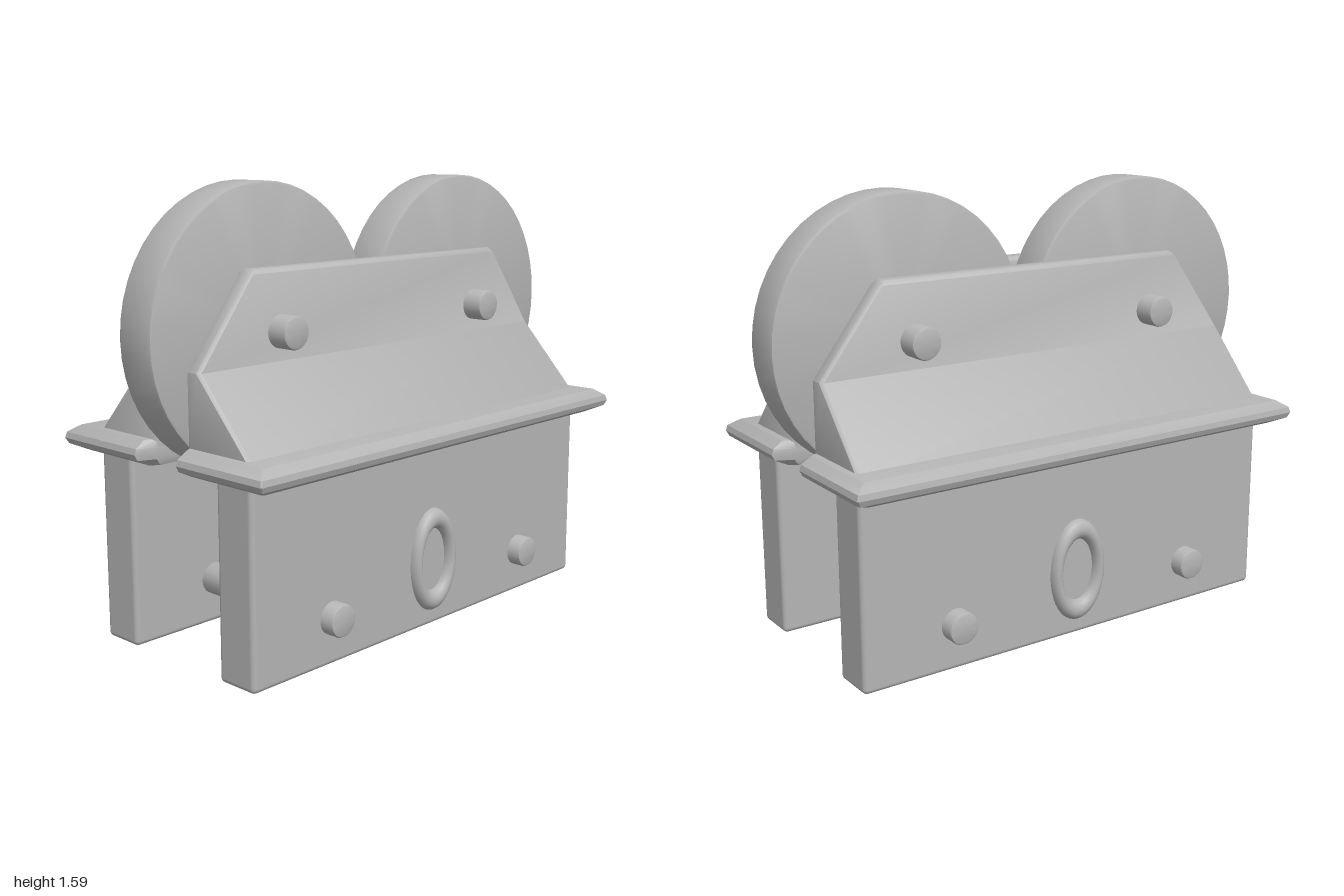
import * as THREE from 'three';
import { toCreasedNormals } from 'three/addons/utils/BufferGeometryUtils.js';
import { RoundedBoxGeometry } from 'three/addons/geometries/RoundedBoxGeometry.js';

// Rectangular plan outline with cut corners: cz/cx at the inner side, c at the outer side
function outline(hx, z0, z1, c, cx = c, cz = c) {
  return [
    [-hx + cx, z0], [hx - cx, z0], [hx, z0 + cz], [hx, z1 - c],
    [hx - c, z1], [-hx + c, z1], [-hx, z1 - c], [-hx, z0 + cz],
  ];
}

// Closed solid through outlines stacked in y
function loft(levels, crease) {
  const pos = [], idx = [], n = levels[0].ring.length;
  for (const { y, ring } of levels) for (const [x, z] of ring) pos.push(x, y, z);
  for (let i = 0; i < levels.length - 1; i++) {
    for (let k = 0; k < n; k++) {
      const a = i * n + k, b = i * n + (k + 1) % n;
      idx.push(a, a + n, b, b, a + n, b + n);
    }
  }
  const top = (levels.length - 1) * n;
  for (let k = 1; k < n - 1; k++) idx.push(0, k, k + 1, top, top + k + 1, top + k);
  const g = new THREE.BufferGeometry();
  g.setAttribute('position', new THREE.Float32BufferAttribute(pos, 3));
  g.setIndex(idx);
  return toCreasedNormals(g, crease);
}

// Disc or rod along z with slightly bevelled rims
function roundBar(radius, half, bevel, segments) {
  const profile = [
    [0, -half], [radius - bevel, -half], [radius - bevel * 0.3, -half + bevel * 0.3],
    [radius, -half + bevel], [radius, half - bevel],
    [radius - bevel * 0.3, half - bevel * 0.3], [radius - bevel, half], [0, half],
  ].map(([r, y]) => new THREE.Vector2(r, y));
  const g = new THREE.LatheGeometry(profile, segments);
  g.rotateX(Math.PI / 2);
  return toCreasedNormals(g, 0.5);
}

export function createModel() {
  const model = new THREE.Group();
  model.name = 'twinWheelTrolley';
  const grey = new THREE.MeshStandardMaterial({ color: 0xb4b4b4 });
  grey.name = 'plain grey';

  function add(parent, name, geometry, x = 0, y = 0, z = 0) {
    const mesh = new THREE.Mesh(geometry, grey);
    mesh.name = name;
    mesh.position.set(x, y, z);
    parent.add(mesh);
    return mesh;
  }

  // Shared shapes of the two side frames
  const cheek = loft([
    { y: 0.73, ring: outline(0.865, 0.08, 0.395, 0.012) },
    { y: 1.0, ring: outline(0.865, 0.08, 0.146, 0.012) },
    { y: 1.295, ring: outline(0.642, 0.08, 0.146, 0.012) },
    { y: 1.31, ring: outline(0.625, 0.09, 0.134, 0.008) },
  ], 0.85);
  const flange = loft([
    { y: 0.665, ring: outline(0.87, 0.09, 0.44, 0.004, 0.03, 0.02) },
    { y: 0.69, ring: outline(0.922, 0.08, 0.492, 0.004, 0.06, 0.025) },
    { y: 0.71, ring: outline(0.932, 0.08, 0.5, 0.004, 0.065, 0.025) },
    { y: 0.73, ring: outline(0.926, 0.08, 0.496, 0.004, 0.06, 0.025) },
    { y: 0.755, ring: outline(0.89, 0.085, 0.46, 0.004, 0.04, 0.025) },
  ], 0.5);
  const plate = new RoundedBoxGeometry(1.73, 0.72, 0.165, 3, 0.018);
  const ring = new THREE.TorusGeometry(0.152, 0.038, 16, 48);
  ring.scale(0.61, 1, 0.95);

  // Front and back frames
  for (const [name, turn] of [['frontFrame', 0], ['backFrame', Math.PI]]) {
    const frame = new THREE.Group();
    frame.name = name;
    frame.rotation.y = turn;
    add(frame, 'slopedCheek', cheek);
    add(frame, 'flange', flange);
    add(frame, 'lowerPlate', plate, 0, 0.36, 0.2975);
    add(frame, 'ovalRing', ring, 0, 0.247, 0.376);
    model.add(frame);
  }

  // Wheels, their axles and the lower cross rods
  const wheel = roundBar(0.49, 0.079, 0.012, 48);
  const axle = roundBar(0.057, 0.225, 0.01, 32);
  const rod = roundBar(0.057, 0.436, 0.01, 32);
  for (const [side, x] of [['left', 0.51], ['right', -0.51]]) {
    add(model, side + 'Wheel', wheel, x, 1.1, 0);
    add(model, side + 'Axle', axle, x, 1.1, 0);
    add(model, side + 'CrossRod', rod, x, 0.165, 0);
  }
  return model;
}
